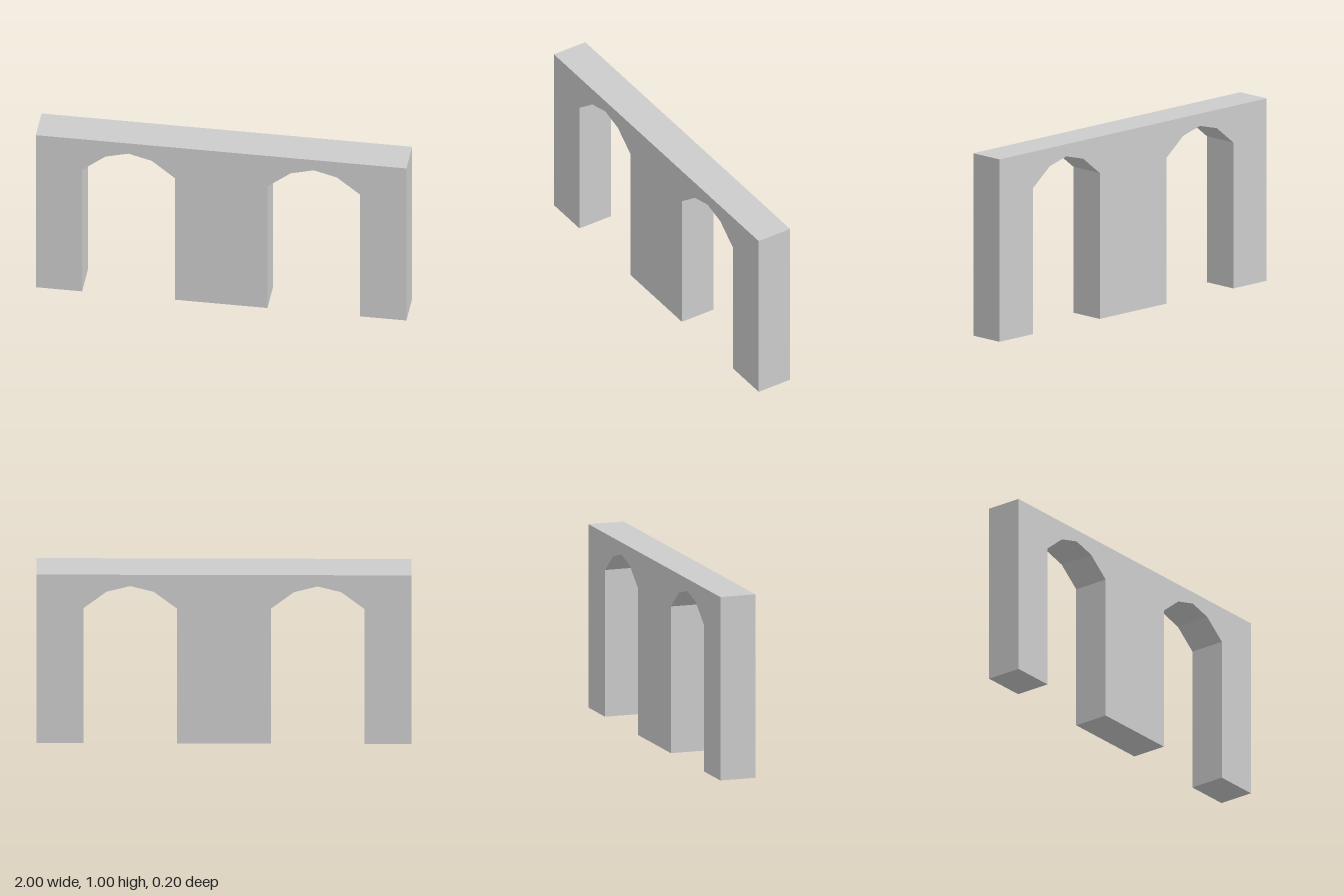
import * as THREE from 'three';

const DEPTH = 0.2, SPRING = 0.8, RISE = 0.133, HALF_SPAN = 0.25, ARCH_STEPS = 4;

// Faceted arch underside, listed from right to left around centre cx
function archPoints(cx) {
  const points = [];
  for (let i = 0; i <= ARCH_STEPS; i++) {
    const t = 1 - (2 * i) / ARCH_STEPS;
    points.push([cx + t * HALF_SPAN, SPRING + RISE * (1 - t * t)]);
  }
  return points;
}

export function createModel() {
  const group = new THREE.Group();
  group.name = 'doubleArchWall';

  // Wall outline, counter-clockwise: top edge, then the openings cut up from the ground
  const outline = new THREE.Shape();
  outline.moveTo(1, 0);
  outline.lineTo(1, 1);
  outline.lineTo(-1, 1);
  outline.lineTo(-1, 0);
  for (const cx of [-0.5, 0.5]) {
    outline.lineTo(cx - HALF_SPAN, 0);
    for (const [x, y] of archPoints(cx).reverse()) outline.lineTo(x, y);
    outline.lineTo(cx + HALF_SPAN, 0);
  }
  outline.closePath();

  // Solid wall with three piers and two faceted arches
  const geometry = new THREE.ExtrudeGeometry(outline, { depth: DEPTH, bevelEnabled: false });
  geometry.translate(0, 0, -DEPTH / 2);
  const material = new THREE.MeshStandardMaterial({ color: 0xcccccc, flatShading: true });
  const wall = new THREE.Mesh(geometry, material);
  wall.name = 'archedWall';
  group.add(wall);

  return group;
}
